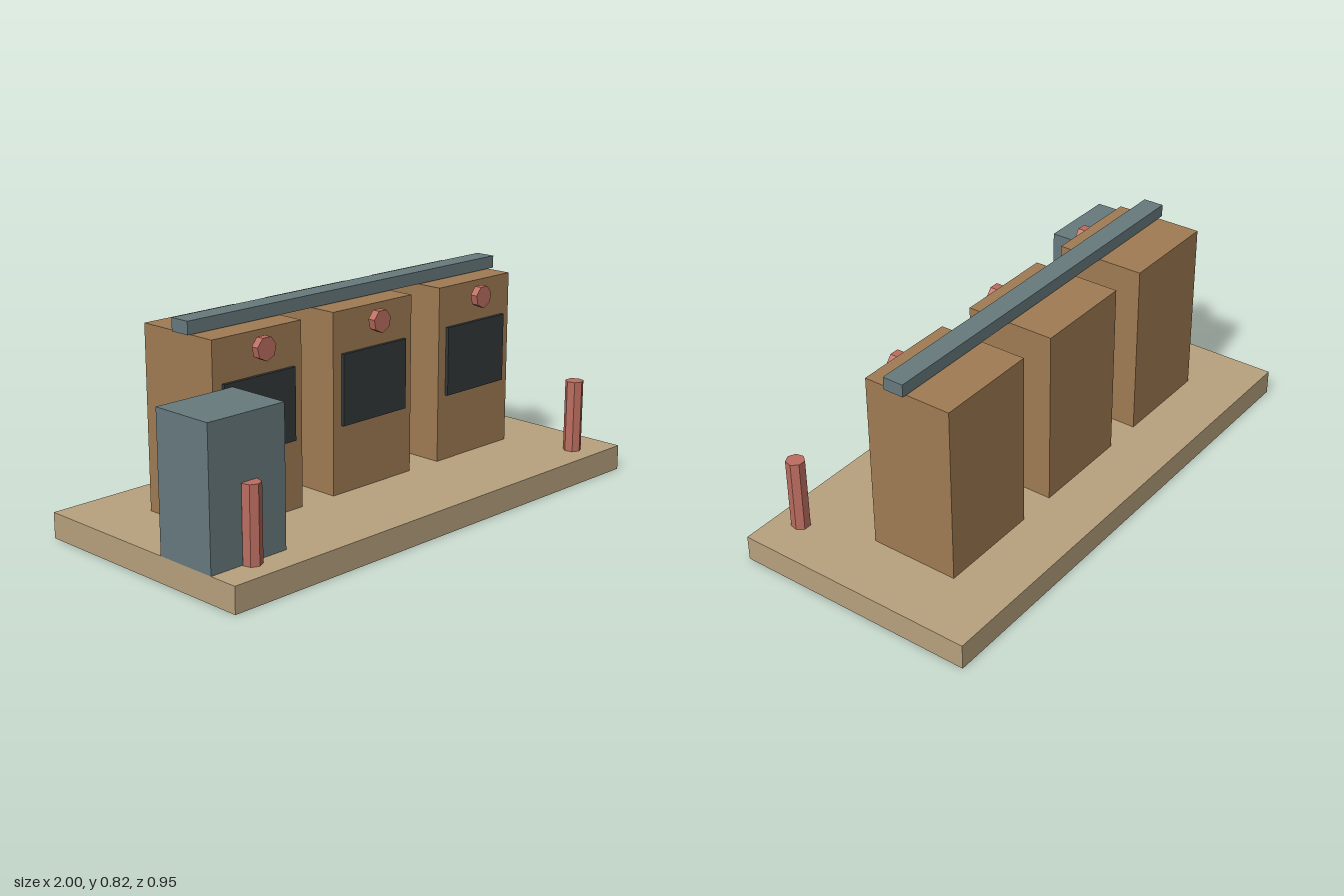
import * as THREE from 'three';

const material = (color) => new THREE.MeshStandardMaterial({ color, flatShading: true });

export function createModel() {
  const model = new THREE.Group();
  const sand = material(0xb8a27e);
  const wood = material(0xa07c54);
  const slate = material(0x687a7e);
  const dark = material(0x32393b);
  const red = material(0xbc6e60);

  function add(name, geometry, mat, x, y, z) {
    const mesh = new THREE.Mesh(geometry, mat);
    mesh.name = name;
    mesh.position.set(x, y, z);
    model.add(mesh);
    return mesh;
  }

  // Box given by its [min, max] extents along each axis
  function box(name, mat, [x0, x1], [y0, y1], [z0, z1]) {
    return add(name, new THREE.BoxGeometry(x1 - x0, y1 - y0, z1 - z0), mat,
      (x0 + x1) / 2, (y0 + y1) / 2, (z0 + z1) / 2);
  }

  const floor = 0.096;
  box('basePlate', sand, [-1, 1], [0, floor], [-0.473, 0.473]);

  // Three cabinets, each with a screen and a seven-sided lamp in front
  ['right', 'middle', 'left'].forEach((side, i) => {
    const x = (i - 1) * 0.553;
    box(`${side}Cabinet`, wood, [x - 0.2, x + 0.2], [floor, 0.768], [-0.245, 0.1]);
    box(`${side}Screen`, dark, [x - 0.16, x + 0.16], [0.35, 0.613], [0.1, 0.113]);
    const lamp = new THREE.CylinderGeometry(0.043, 0.043, 0.029, 7).rotateX(Math.PI / 2);
    add(`${side}Lamp`, lamp, red, x, 0.711, 0.132);
  });

  // Rail running just above the cabinets
  box('topRail', slate, [-0.773, 0.773], [0.771, 0.818], [-0.075, 0.005]);

  // Side locker
  box('sideLocker', slate, [-1, -0.677], [floor, 0.599], [0.113, 0.361]);

  // Front posts
  for (const s of [-1, 1]) {
    add(s < 0 ? 'rightPost' : 'leftPost',
      new THREE.CylinderGeometry(0.035, 0.035, 0.277, 7), red, s * 0.835, floor + 0.1385, 0.372);
  }

  return model;
}
